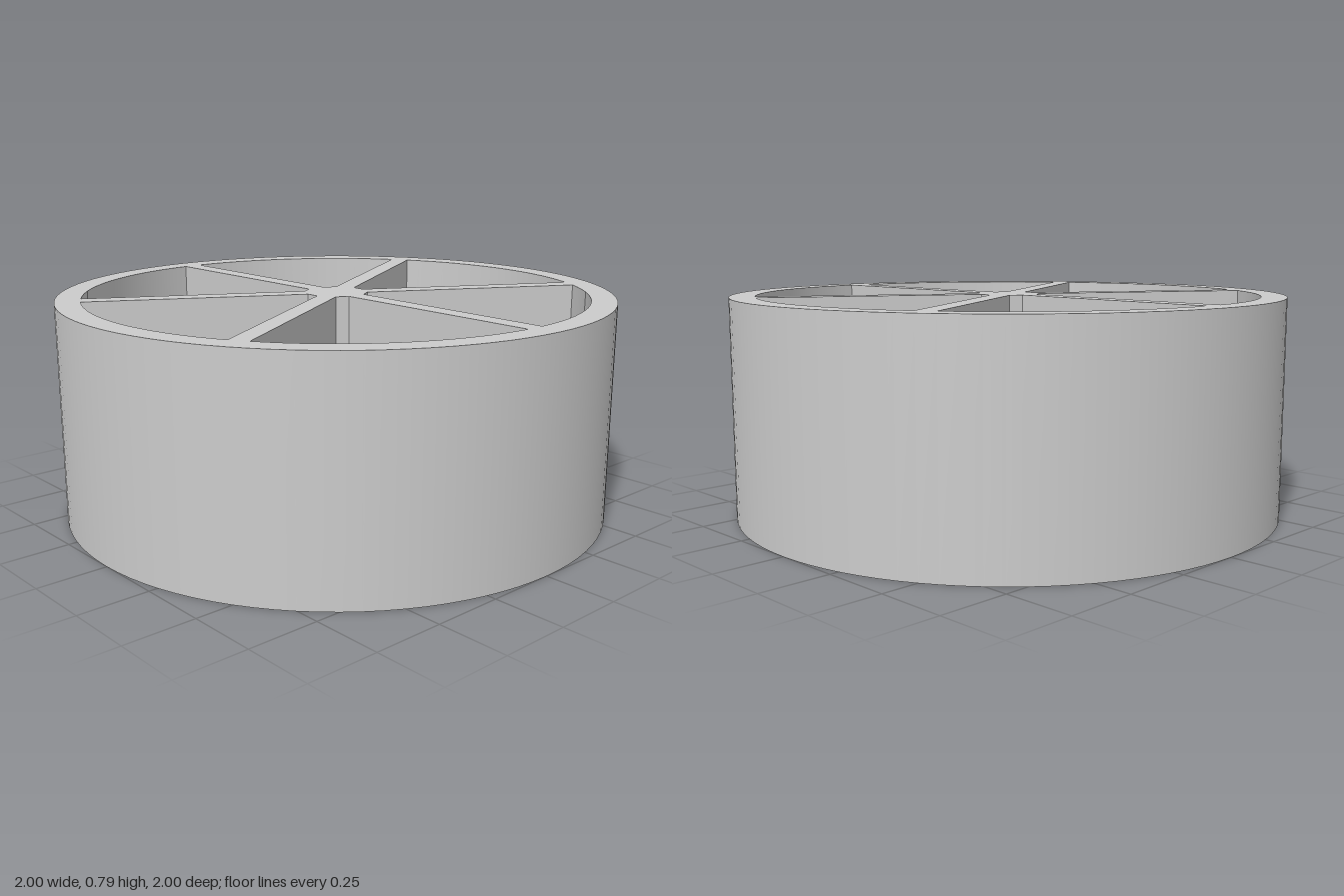
import * as THREE from 'three';
import { toCreasedNormals } from 'three/addons/utils/BufferGeometryUtils.js';

const HEIGHT = 0.79, FLOOR = 0.09;
const OUTER = 1, INNER = 0.91, HUB = 0.115, HALF_SPOKE = 0.035;
const SPOKES = 6, SEGMENTS = 96;

// Outline points on an arc about the centre
function arc(radius, from, to, steps) {
  return Array.from({ length: steps + 1 }, (_, i) => {
    const a = from + (to - from) * i / steps;
    return new THREE.Vector2(radius * Math.cos(a), radius * Math.sin(a));
  });
}

// Wedge between two spokes, with a flat inner end at the hub
function pocketOutline(index) {
  const step = Math.PI * 2 / SPOKES, start = index * step, end = start + step;
  const outerGap = Math.asin(HALF_SPOKE / INNER);
  const innerGap = Math.asin(HALF_SPOKE / HUB);
  return [
    ...arc(INNER, start + outerGap, end - outerGap, 16),
    ...arc(HUB, end - innerGap, start + innerGap, 1),
  ];
}

// Inward-facing walls standing on a closed outline
function pocketWalls(points) {
  const pos = [];
  points.forEach((a, i) => {
    const b = points[(i + 1) % points.length];
    pos.push(a.x, a.y, FLOOR, a.x, a.y, HEIGHT, b.x, b.y, FLOOR);
    pos.push(b.x, b.y, FLOOR, a.x, a.y, HEIGHT, b.x, b.y, HEIGHT);
  });
  const geometry = new THREE.BufferGeometry();
  geometry.setAttribute('position', new THREE.Float32BufferAttribute(pos, 3));
  return toCreasedNormals(geometry, 0.5).rotateX(-Math.PI / 2);
}

export function createModel() {
  const group = new THREE.Group();
  group.name = 'dividedRoundTray';
  const material = new THREE.MeshStandardMaterial({ color: 0xcccccc });
  const add = (name, geometry, y = 0, parent = group) => {
    const mesh = new THREE.Mesh(geometry, material);
    mesh.name = name;
    mesh.position.y = y;
    parent.add(mesh);
  };

  // Outer drum and closed underside
  add('outerWall', new THREE.CylinderGeometry(OUTER, OUTER, HEIGHT, SEGMENTS, 1, true), HEIGHT / 2);
  add('underside', new THREE.CircleGeometry(OUTER, SEGMENTS).rotateX(Math.PI / 2));

  // Rim, spokes and hub share one flat top face
  const top = new THREE.Shape(arc(OUTER, 0, Math.PI * 2, SEGMENTS).slice(0, -1));

  // Six pockets sunk between the spokes
  for (let i = 0; i < SPOKES; i++) {
    const outline = pocketOutline(i);
    top.holes.push(new THREE.Path(outline));
    const pocket = new THREE.Group();
    pocket.name = `pocket${i + 1}`;
    add('pocketWalls', pocketWalls(outline), 0, pocket);
    add('pocketFloor', new THREE.ShapeGeometry(new THREE.Shape(outline)).rotateX(-Math.PI / 2), FLOOR, pocket);
    group.add(pocket);
  }
  add('rimAndSpokesTop', new THREE.ShapeGeometry(top).rotateX(-Math.PI / 2), HEIGHT);

  return group;
}
